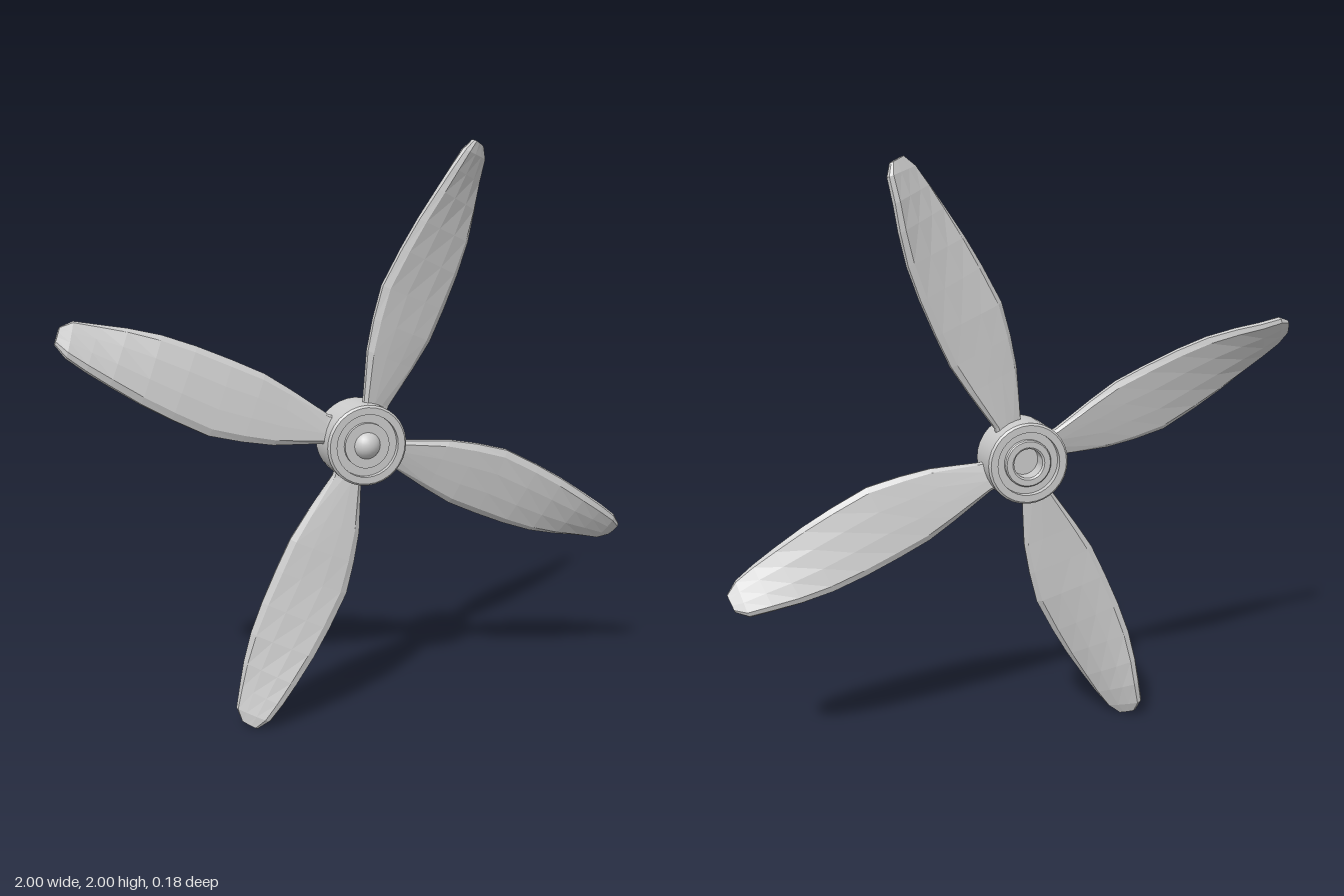
import * as THREE from 'three';
import { toCreasedNormals } from 'three/addons/utils/BufferGeometryUtils.js';

// Blade stations from root to tip: left x, y, z, right x, y, z, half thickness
const STATIONS = [
  [0.0, 0.09, 0.003, 0.08, 0.06, -0.022, 0.02],
  [0.005, 0.15, 0.003, 0.1, 0.115, -0.022, 0.02],
  [0.015, 0.315, 0.012, 0.19, 0.24, -0.025, 0.021],
  [0.035, 0.42, 0.015, 0.25, 0.33, -0.027, 0.022],
  [0.064, 0.53, 0.02, 0.3, 0.435, -0.032, 0.022],
  [0.128, 0.65, 0.027, 0.35, 0.55, -0.038, 0.022],
  [0.185, 0.745, 0.032, 0.39, 0.66, -0.045, 0.022],
  [0.25, 0.84, 0.035, 0.415, 0.765, -0.053, 0.022],
  [0.3, 0.91, 0.034, 0.43, 0.855, -0.056, 0.021],
  [0.345, 0.967, 0.028, 0.445, 0.935, -0.05, 0.019],
  [0.385, 0.998, 0.01, 0.432, 0.978, -0.03, 0.011],
];

// Cross-section: position along the chord, position through the thickness
const SECTION = [
  [-0.82, 0.85], [-0.3, 1], [0.3, 1], [0.82, 0.85], [1, 0.25], [1, -0.35],
  [0.85, -0.9], [0.3, -1], [-0.3, -1], [-0.85, -0.9], [-1, -0.35], [-1, 0.25],
];

function bladeGeometry() {
  const axis = new THREE.Vector3(0.4, 0.917, 0);
  const positions = [], index = [];
  const n = SECTION.length;
  const addPoint = (p) => positions.push(p.x, p.y, p.z);
  const centres = STATIONS.map(([lx, ly, lz, rx, ry, rz, t]) => {
    const left = new THREE.Vector3(lx, ly, lz);
    const right = new THREE.Vector3(rx, ry, rz);
    const centre = left.clone().add(right).multiplyScalar(0.5);
    const half = right.clone().sub(left).multiplyScalar(0.5);
    const normal = half.clone().cross(axis).normalize();
    for (const [u, v] of SECTION) {
      addPoint(centre.clone().addScaledVector(half, u).addScaledVector(normal, v * t));
    }
    return centre;
  });
  // Skin between neighbouring sections
  for (let i = 0; i < STATIONS.length - 1; i++) {
    for (let j = 0; j < n; j++) {
      const a = i * n + j, b = i * n + (j + 1) % n;
      index.push(a, b, b + n, a, b + n, a + n);
    }
  }
  // Tip and root caps
  const last = (STATIONS.length - 1) * n;
  const tip = positions.length / 3;
  addPoint(centres[centres.length - 1]);
  addPoint(centres[0]);
  for (let j = 0; j < n; j++) {
    const k = (j + 1) % n;
    index.push(last + j, last + k, tip, k, j, tip + 1);
  }
  const geometry = new THREE.BufferGeometry();
  geometry.setAttribute('position', new THREE.Float32BufferAttribute(positions, 3));
  geometry.setIndex(index);
  geometry.computeVertexNormals();
  return geometry;
}

function hubGeometry() {
  // Radius and depth, from the rear bore round the rim to the front face
  const profile = [
    [0, -0.03], [0.05, -0.03], [0.05, -0.082], [0.056, -0.087], [0.076, -0.087],
    [0.08, -0.083], [0.08, -0.068], [0.108, -0.068], [0.108, -0.09], [0.132, -0.09],
    [0.139, -0.083], [0.139, 0.058], [0.132, 0.065], [0.108, 0.065], [0.108, 0.047],
    [0.078, 0.047], [0.078, 0.06], [0, 0.06],
  ].map(([r, z]) => new THREE.Vector2(r, z));
  const geometry = new THREE.LatheGeometry(profile, 32);
  geometry.rotateX(Math.PI / 2);
  return toCreasedNormals(geometry, 0.5);
}

export function createModel() {
  const model = new THREE.Group();
  model.name = 'propeller';
  const smooth = new THREE.MeshStandardMaterial({ color: 0xcccccc });
  const faceted = new THREE.MeshStandardMaterial({ color: 0xcccccc, flatShading: true });

  const rotor = new THREE.Group();
  rotor.name = 'rotor';
  rotor.position.y = 1;
  model.add(rotor);

  // Grooved hub with a rear bore
  const hub = new THREE.Mesh(hubGeometry(), smooth);
  hub.name = 'hub';
  rotor.add(hub);

  // Domed cap on the front of the hub
  const cap = new THREE.Mesh(new THREE.SphereGeometry(0.05, 24, 16), smooth);
  cap.name = 'frontCap';
  cap.position.z = 0.04;
  rotor.add(cap);

  // Four twisted blades
  const geometry = bladeGeometry();
  for (let i = 0; i < 4; i++) {
    const blade = new THREE.Mesh(geometry, faceted);
    blade.name = `blade${i + 1}`;
    blade.rotation.z = (i * Math.PI) / 2;
    rotor.add(blade);
  }
  return model;
}
